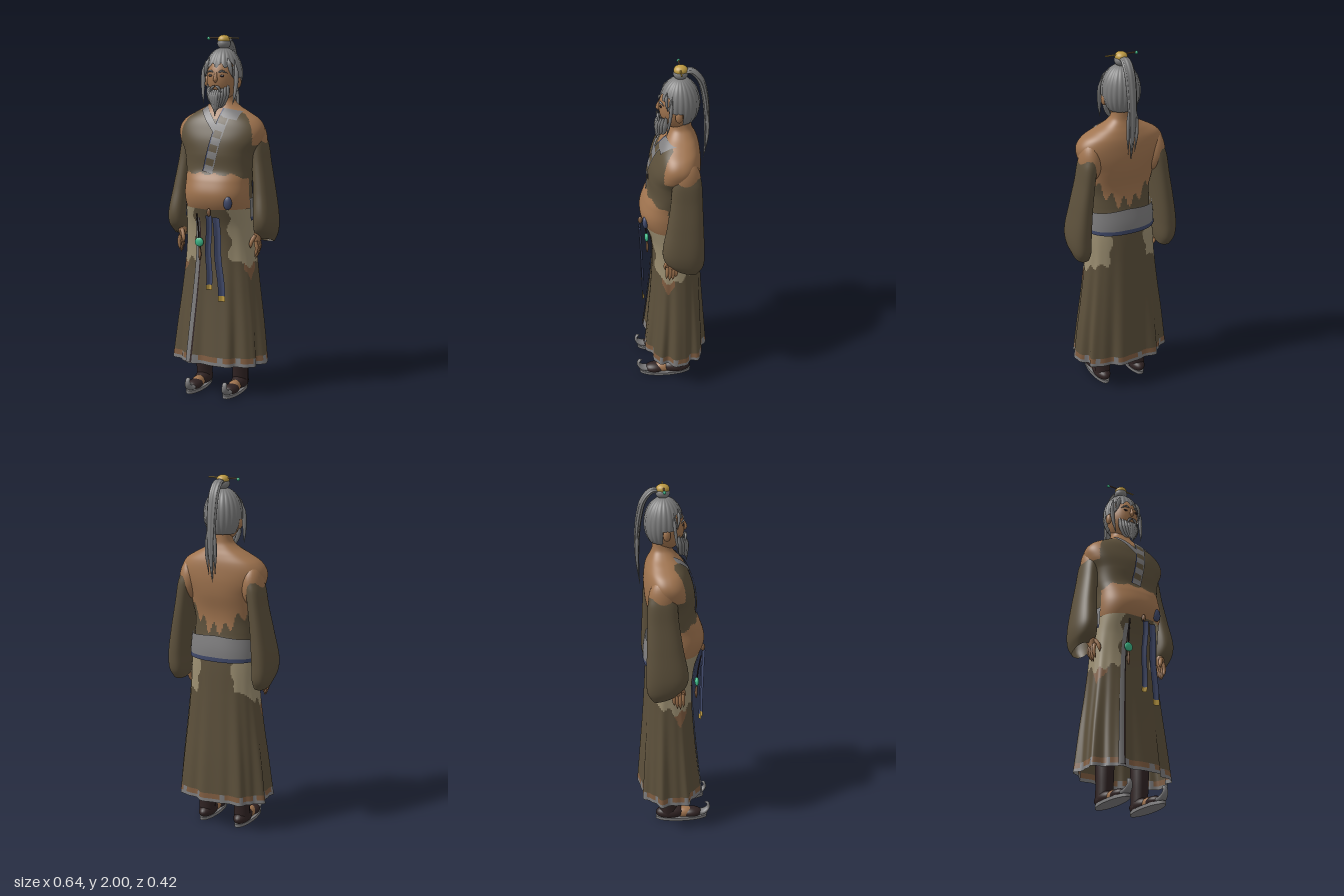
import * as THREE from 'three';

const V = (x, y, z) => new THREE.Vector3(x, y, z);
const mat = (name, color) => {
  const m = new THREE.MeshStandardMaterial({ color, side: THREE.DoubleSide });
  m.name = name;
  return m;
};

// Smooth interpolation of cross-sections [y, centreX, halfWidth, zFront, zBack]
function at(rings, y) {
  const n = rings.length;
  let i = 0;
  while (i < n - 2 && y > rings[i + 1][0]) i++;
  const a = rings[i], b = rings[i + 1], p = rings[Math.max(0, i - 1)], q = rings[Math.min(n - 1, i + 2)];
  const h = b[0] - a[0], t = Math.min(1, Math.max(0, (y - a[0]) / h)), t2 = t * t, t3 = t2 * t;
  return a.map((_, k) => {
    const m0 = (b[k] - p[k]) / (b[0] - p[0]) * h, m1 = (q[k] - a[k]) / (q[0] - a[0]) * h;
    return (2 * t3 - 3 * t2 + 1) * a[k] + (t3 - 2 * t2 + t) * m0 + (3 * t2 - 2 * t3) * b[k] + (t3 - t2) * m1;
  });
}
const soft = (v) => Math.sign(v) * Math.abs(v) ** 0.85;
function ringPoint(rings, y, a, grow = 1) {
  const [, cx, hw, zf, zb] = at(rings, y);
  return V(cx + hw * grow * soft(Math.cos(a)), y, (zf + zb) / 2 + (zf - zb) / 2 * grow * soft(Math.sin(a)));
}

// Grid surface; rule(centre, u, v) picks a material per face, -1 leaves a hole
function surface(name, mats, fn, nu, nv, { closed = true, rule = () => 0 } = {}) {
  const pts = [], cols = closed ? nu : nu + 1;
  for (let j = 0; j <= nv; j++) for (let i = 0; i < cols; i++) pts.push(fn(i / nu, j / nv));
  const lists = mats.map(() => []);
  for (let j = 0; j < nv; j++) for (let i = 0; i < nu; i++) {
    const k = (i + 1) % cols;
    const a = j * cols + i, b = j * cols + k, c = b + cols, d = a + cols;
    const mid = pts[a].clone().add(pts[b]).add(pts[c]).add(pts[d]).multiplyScalar(0.25);
    const m = rule(mid, (i + 0.5) / nu, (j + 0.5) / nv);
    if (m >= 0) lists[m].push(a, d, b, b, d, c);
  }
  const g = new THREE.BufferGeometry().setFromPoints(pts);
  g.setIndex(lists.flat());
  let start = 0;
  lists.forEach((l, m) => { g.addGroup(start, l.length, m); start += l.length; });
  g.computeVertexNormals();
  const mesh = new THREE.Mesh(g, mats);
  mesh.name = name;
  return mesh;
}

// Tapered strand along a curve; radii are spread evenly over its length
function strand(name, m, points, radii, depth = 1, ridges = 0) {
  const curve = new THREE.CatmullRomCurve3(points.map((p) => V(...p)));
  return surface(name, [m], (u, v) => {
    const T = curve.getTangent(v), N = V(1, 0, 0).addScaledVector(T, -T.x);
    if (N.length() < 0.05) N.set(0, 0, 1).addScaledVector(T, -T.z);
    N.normalize();
    const B = N.clone().cross(T), f = v * (radii.length - 1), i = Math.min(radii.length - 2, Math.floor(f));
    const a = u * Math.PI * 2;
    const r = (radii[i] + (radii[i + 1] - radii[i]) * (f - i)) * (1 + 0.08 * ridges * Math.cos(a * 8));
    return curve.getPoint(v).addScaledVector(N, r * Math.cos(a)).addScaledVector(B, r * depth * Math.sin(a));
  }, ridges ? 48 : 10, ridges ? 40 : 16);
}
function ball(name, m, [x, y, z], [sx, sy, sz]) {
  const mesh = new THREE.Mesh(new THREE.SphereGeometry(1, 28, 20), m);
  mesh.name = name;
  mesh.position.set(x, y, z);
  mesh.scale.set(sx, sy, sz);
  return mesh;
}

export function createModel() {
  const root = new THREE.Group();
  root.name = 'robedElder';
  const add = (...m) => root.add(...m);
  const skin = mat('skin', 0xa0744f), cloth = mat('brownCloth', 0x5c503b), hair = mat('greyHair', 0x7b7b7b),
    trim = mat('greyTrim', 0x7d7c7d), beige = mat('beigePatch', 0x9a8d70), rust = mat('rustTrim', 0x7f5c40),
    blue = mat('blueSash', 0x3f4869), leather = mat('darkLeather', 0x302323),
    gold = mat('gold', 0xbd9a42), jade = mat('jade', 0x3bb586);
  const TAU = Math.PI * 2;

  // Torso: bare belly, shoulders and back, torn vest over chest and flanks
  const torso = [
    [1.0, 0, .17, .12, -.13], [1.08, 0, .184, .165, -.138], [1.14, 0, .187, .175, -.13], [1.21, 0, .185, .155, -.125],
    [1.27, 0, .192, .128, -.13], [1.36, 0, .206, .125, -.15], [1.43, 0, .238, .115, -.157], [1.49, 0, .246, .095, -.155],
    [1.54, 0, .215, .073, -.148], [1.58, 0, .15, .045, -.135], [1.61, 0, .096, .02, -.122], [1.645, 0, .06, 0, -.11],
    [1.72, 0, .052, -.01, -.105]];
  add(surface('torso', [skin, cloth], (u, v) => ringPoint(torso, 1 + .72 * v, u * TAU), 160, 120, {
    rule: ({ x, y, z }) => {
      const ax = Math.abs(x);
      if (z > .9 * Math.max(0, ax - .15)) {
        const hem = 1.25 - .8 * Math.max(0, ax - .15) + .007 * Math.sin(x * 70);
        return y > hem && y < 1.59 && ax > (y - 1.54) * 1.1 ? 1 : 0;
      }
      if (z > -.03 || ax > .19) return y > 1.1 && y < 1.41 ? 1 : 0;
      return y > 1.1 && y < 1.17 + .9 * Math.max(0, ax - .05) + .035 * Math.sin(x * 95) ? 1 : 0;
    },
  }));
  const torsoZ = (x, y) => {
    const [, , hw, zf, zb] = at(torso, y), c = Math.min(1, Math.abs(x / hw)) ** (1 / .85);
    return (zf + zb) / 2 + (zf - zb) / 2 * soft(Math.sqrt(1 - c * c));
  };

  // Collar bands lying on the chest
  const band = (name, mats, [x0, y0], [x1, y1], w, rule) => {
    const l = Math.hypot(x1 - x0, y1 - y0), px = (y1 - y0) / l * w, py = -(x1 - x0) / l * w;
    return surface(name, mats, (u, v) => {
      const x = x0 + (x1 - x0) * v + px * (.5 - u), y = y0 + (y1 - y0) * v + py * (.5 - u);
      return V(x, y, torsoZ(x, y) + .008);
    }, 8, 36, { closed: false, rule });
  };
  add(band('rightCollar', [trim], [.015, 1.49], [-.085, 1.605], .036),
    band('stripedLapel', [trim, cloth, blue], [-.02, 1.26], [.06, 1.6], .062,
      (p, u, v) => (u < .13 || u > .87 ? (u > .87 ? 2 : 0) : Math.floor(v * 9) % 2)),
    band('leftCollarPad', [trim], [.045, 1.582], [.128, 1.566], .046));

  // Skirt with folds, worn patches and a patterned hem
  const skirt = [
    [.17, 0, .266, .158, -.193], [.4, 0, .245, .135, -.18], [.6, 0, .222, .118, -.168], [.8, 0, .202, .108, -.158],
    [.95, 0, .195, .12, -.152], [1.06, 0, .188, .155, -.145]];
  const skirtPoint = (u, v, grow = 1) => {
    const a = u * TAU, y = .17 + .89 * v, k = (1 - v) ** 1.3;
    return ringPoint(skirt, y, a, grow * (1 + .055 * k * Math.cos(a * 9 + .6) + .025 * k * Math.sin(a * 17)));
  };
  add(surface('skirt', [cloth, beige, rust, trim], skirtPoint, 170, 90, {
    rule: ({ x, y, z }, u) => {
      if (y < .19) return 3;
      if (y < .215) return Math.floor(u * 56) % 4 === 0 ? 3 : 2;
      const edge = .73 + .5 * Math.abs(z - .02) + .015 * Math.sin(z * 90 + x * 40);
      if (Math.abs(x) > .1 + .012 * Math.sin(y * 45) && z > -.142 && y > edge) return 1;
      return Math.abs(x) > .14 && Math.abs(z - .03) < .035 && y > .65 + 1.9 * Math.abs(z - .03) && y < edge ? 2 : 0;
    },
  }));
  add(surface('skirtFrontBorder', [trim, leather], (u, v) => {
    const p = skirtPoint(.293 + .01 * (1 - v) + .024 * u, .01 + .93 * v, 1.02);
    p.z += .004;
    return p;
  }, 5, 50, { closed: false, rule: (p, u) => (u < .2 ? 1 : 0) }));

  // Wide waist belt, deep at the back
  const belt = [[.95, 0, .202, .14, -.166], [1.05, 0, .2, .15, -.163], [1.15, 0, .194, .14, -.148]];
  add(surface('waistBelt', [trim, blue], (u, v) => {
    const a = Math.PI * (.93 + 1.14 * u), p = ringPoint(belt, .99 + .145 * v, a);
    p.y -= .02 * Math.abs(Math.cos(a)) * v;
    return p;
  }, 60, 12, { closed: false, rule: (p, u, v) => (v < .15 ? 1 : 0) }));

  // Hanging sash ribbons with gold ends, waist knot and tucked cloth
  const ribbon = (name, top, bottom, w) => surface(name, [blue, gold], (u, v) => V(
    bottom[0] + (top[0] - bottom[0]) * v + w * (.5 - u) + .004 * Math.sin(v * 9),
    bottom[1] + (top[1] - bottom[1]) * v, .167 + .012 * v * v + .006 * Math.cos(u * TAU)), 6, 30,
  { closed: false, rule: (p, u, v) => (v < .07 ? 1 : 0) });
  add(ribbon('sashRibbonRight', [.008, 1.03], [.005, .61], .036), ribbon('sashRibbonLeft', [.05, 1.02], [.082, .55], .042),
    ball('waistKnot', rust, [.005, 1.045, .172], [.011, .022, .012]),
    ball('tuckedCloth', blue, [.107, 1.1, .15], [.025, .038, .017]));

  // Jade pendant with cord and tassel
  add(strand('pendantCord', leather, [[-.075, 1.03, .155], [-.073, .95, .14], [-.07, .87, .132]], [.004, .004]),
    ball('pendantJade', jade, [-.07, .868, .133], [.026, .026, .012]),
    strand('pendantTassel', rust, [[-.07, .85, .133], [-.068, .81, .13], [-.068, .765, .13]], [.003, .007, .009, .004]));

  // Sleeves, hands, shoes and paired head details
  const sleeve = [
    [.87, .25, .045, .01, -.125], [.92, .257, .058, .055, -.155], [1.0, .258, .061, .068, -.16], [1.15, .243, .053, .042, -.155],
    [1.3, .222, .046, .02, -.15], [1.4, .207, .046, .012, -.146], [1.445, .195, .045, .005, -.138]];
  for (const s of [1, -1]) {
    const side = s > 0 ? 'left' : 'right';
    const loft = sleeve.map(([y, cx, ...r]) => [y, s * cx, ...r]);
    add(ball(side + 'UpperArm', skin, [s * .188, 1.42, -.064], [.062, .115, .078]),
      surface(side + 'Sleeve', [cloth], (u, v) => {
        const p = ringPoint(loft, .87 + .575 * v, u * TAU);
        p.y += (1 - v) ** 6 * .3 * (p.z + .06);
        return p;
      }, 40, 50));
    const hand = new THREE.Group();
    hand.name = side + 'Hand';
    hand.add(strand('wrist', skin, [[s * .235, 1.0, -.02], [s * .232, .93, 0], [s * .228, .86, .015]], [.026, .023, .024, .012], 1.3));
    for (let f = 0; f < 4; f++) {
      const z = .042 - f * .017, len = [.085, .1, .095, .075][f];
      hand.add(strand('finger', skin, [[s * .23, .88, z - .002], [s * .236, .88 - len * .5, z], [s * .226, .875 - len, z + .004]], [.01, .011, .01, .008, 0]));
    }
    hand.add(strand('thumb', skin, [[s * .222, .91, .03], [s * .206, .87, .048], [s * .203, .835, .05]], [.011, .012, .01, 0]));
    add(hand);

    // Boot, sole and curled toe
    const foot = new THREE.Group();
    foot.name = side + 'Shoe';
    foot.position.x = s * .112;
    const sole = new THREE.Mesh(new THREE.CylinderGeometry(1, 1, .018, 32), trim);
    sole.name = 'sole';
    sole.scale.set(.047, 1, .15);
    sole.position.set(0, .009, .045);
    foot.add(sole, ball('shoeBody', leather, [0, .04, -.02], [.045, .04, .085]),
      ball('instep', skin, [0, .035, .06], [.034, .034, .06]), ball('toeCover', leather, [0, .032, .105], [.041, .03, .06]),
      strand('bootShaft', leather, [[0, .03, -.035], [0, .15, -.03], [0, .34, -.03]], [.045, .047, .05, .052], 1.05),
      strand('curledToe', trim, [[0, .03, .135], [0, .035, .178], [0, .062, .203], [0, .09, .197], [0, .092, .178]], [.028, .026, .017, .013, 0], .6));
    add(foot);

    // Face details and side locks
    add(ball(side + 'Eye', leather, [s * .034, 1.782, .0565], [.013, .006, .005]),
      strand(side + 'Eyebrow', hair, [[s * .012, 1.8, .063], [s * .035, 1.808, .058], [s * .062, 1.795, .04]], [0, .006, .005, 0]),
      ball(side + 'Ear', skin, [s * .094, 1.745, -.035], [.014, .032, .02]),
      strand(side + 'SideLock', hair, [[s * .085, 1.87, .0], [s * .098, 1.78, .008], [s * .096, 1.7, .018], [s * .086, 1.62, .033]], [0, .014, .013, .009, 0], .65),
      strand(side + 'ForelockWisp', hair, [[s * .055, 1.88, .025], [s * .07, 1.83, .03], [s * .083, 1.77, .022]], [0, .014, .012, 0], .65),
      strand(side + 'Moustache', hair, [[s * .003, 1.728, .073], [s * .022, 1.715, .07], [s * .036, 1.67, .062]], [.004, .008, .006, 0]));
  }

  // Head
  add(ball('face', skin, [0, 1.765, -.03], [.085, .125, .095]),
    strand('nose', skin, [[0, 1.8, .06], [0, 1.77, .068], [0, 1.74, .067]], [.006, .009, .013, 0]));

  // Beard of tapering strands
  for (let i = -5; i <= 5; i++) {
    const k = i / 5, d = 1 - k * k;
    add(strand('beardStrand', hair, [[k * .06, 1.705 + .025 * k * k, .03 + .033 * d], [k * .05, 1.665, .036 + .04 * d],
      [k * .028, 1.62, .042 + .035 * d], [k * .008, 1.565 + .04 * Math.abs(k), .065 + .012 * d]], [.006, .014, .012, .008, 0]));
  }

  // Ribbed hair cap, open over the face
  add(surface('hairCap', [hair], (u, v) => {
    const a = u * TAU, b = -.8 + (Math.PI / 2 + .8) * v, r = Math.cos(b) * (.97 + .045 * Math.abs(Math.cos(a * 11)));
    return V(.106 * r * Math.cos(a), 1.79 + .142 * Math.sin(b), -.046 + .106 * r * Math.sin(a));
  }, 132, 48, {
    rule: ({ x, y, z }) => {
      const hairline = 1.835 - .012 * Math.cos(x * 130);
      return z < -.055 || y > hairline || (Math.abs(x) > .08 && y > 1.77) ? 0 : -1;
    },
  }));

  // Topknot, gold cap, hairpin and ponytail
  add(ball('topknot', hair, [0, 1.953, -.05], [.037, .031, .039]), ball('goldCap', gold, [0, 1.973, -.05], [.034, .027, .037]));
  for (const s of [1, -1]) {
    const pin = new THREE.Mesh(new THREE.CylinderGeometry(.004, .004, .09, 10), s > 0 ? gold : rust);
    pin.name = 'hairpin';
    pin.rotation.z = Math.PI / 2;
    pin.position.set(s * .043, 1.983, -.047);
    add(pin);
  }
  add(ball('hairpinBead', jade, [-.09, 1.98, -.047], [.009, .009, .009]),
    strand('ponytail', hair, [[0, 1.96, -.06], [0, 1.966, -.105], [0, 1.92, -.15], [0, 1.83, -.176], [0, 1.7, -.189], [0, 1.56, -.187], [0, 1.43, -.175]],
      [.018, .024, .028, .029, .028, .025, .02, .011, 0], .6, 1));
  for (const s of [1, -1]) {
    add(strand('ponytailWisp', hair, [[s * .015, 1.75, -.186], [s * .026, 1.62, -.192], [s * .018, 1.47, -.18]], [.004, .01, .008, 0]));
  }
  return root;
}
